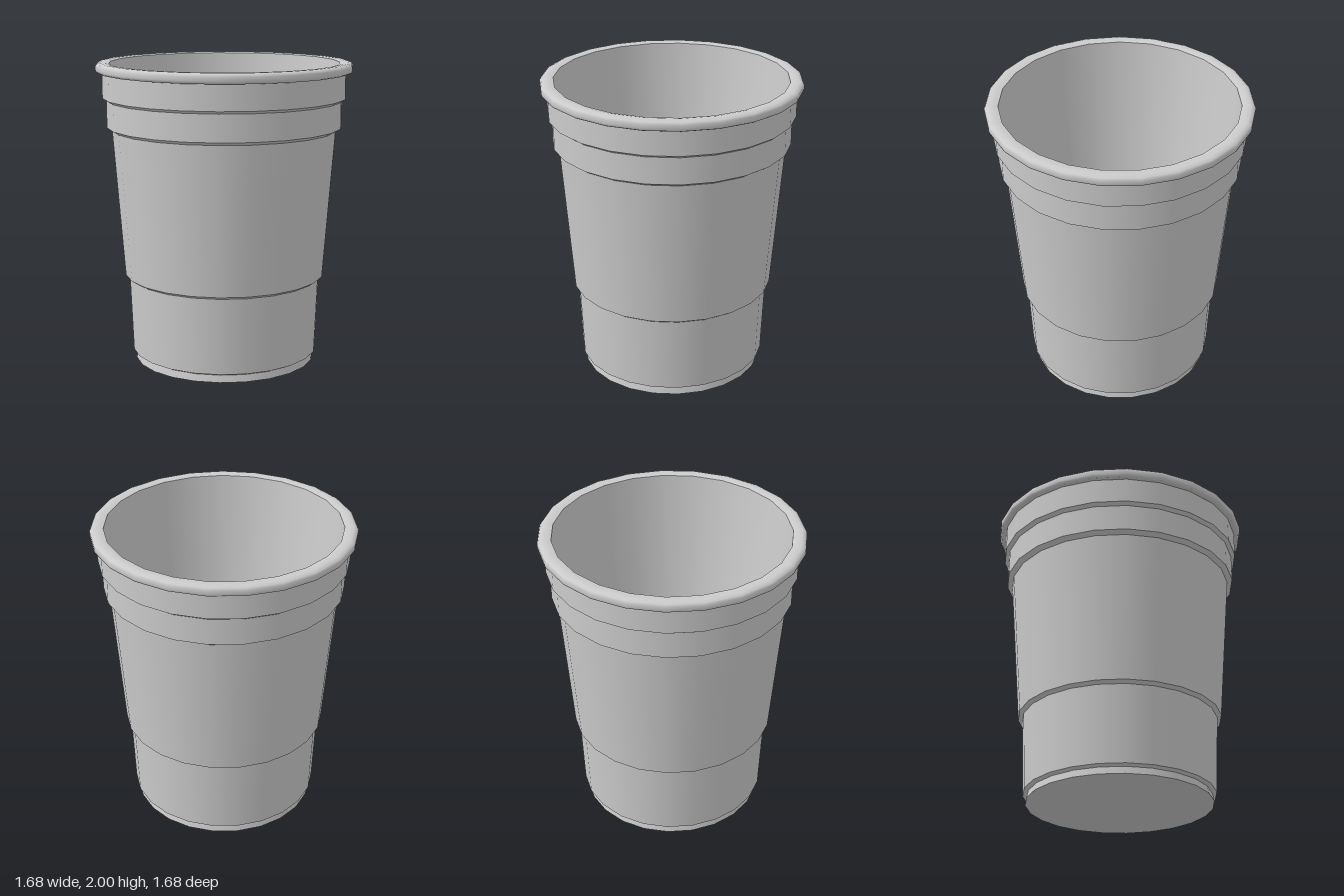
import * as THREE from 'three';

const SIDES = 23;

export function createModel() {
  const cup = new THREE.Group();
  cup.name = 'cup';
  const material = new THREE.MeshStandardMaterial({ color: 0xcccccc });

  // One smooth band of revolution; separate bands keep the edges between them sharp
  const band = (name, points) => {
    const profile = points.map(([r, y]) => new THREE.Vector2(r, y));
    const mesh = new THREE.Mesh(new THREE.LatheGeometry(profile, SIDES, Math.PI / 2), material);
    mesh.name = name;
    mesh.position.x = -0.004; // an odd number of sides is not symmetric in x
    cup.add(mesh);
  };

  // Stepped outer profile, from the underside up to the rim
  const outer = [
    ['base', 0, 0],
    ['foot', 0.604, 0],
    ['footStep', 0.594, 0.047],
    ['lowerWall', 0.621, 0.06],
    ['lowerStep', 0.641, 0.565],
    ['middleWall', 0.668, 0.583],
    ['middleStep', 0.742, 1.557],
    ['upperWall', 0.776, 1.578],
    ['upperStep', 0.776, 1.752],
    ['collar', 0.802, 1.77],
    ['', 0.802, 1.935],
  ];
  for (let i = 0; i < outer.length - 1; i++) {
    band(outer[i][0], [outer[i].slice(1), outer[i + 1].slice(1)]);
  }

  // Rolled rim
  band('rimUnderside', [[0.802, 1.935], [0.828, 1.935]]);
  band('rim', [
    [0.828, 1.935], [0.84, 1.942], [0.844, 1.955], [0.844, 1.978],
    [0.836, 1.992], [0.815, 2], [0.785, 2], [0.757, 1.994],
  ]);

  // Straight inside wall and floor
  band('innerWall', [[0.757, 1.994], [0.567, 0.05]]);
  band('floor', [[0.567, 0.05], [0, 0.05]]);

  return cup;
}
